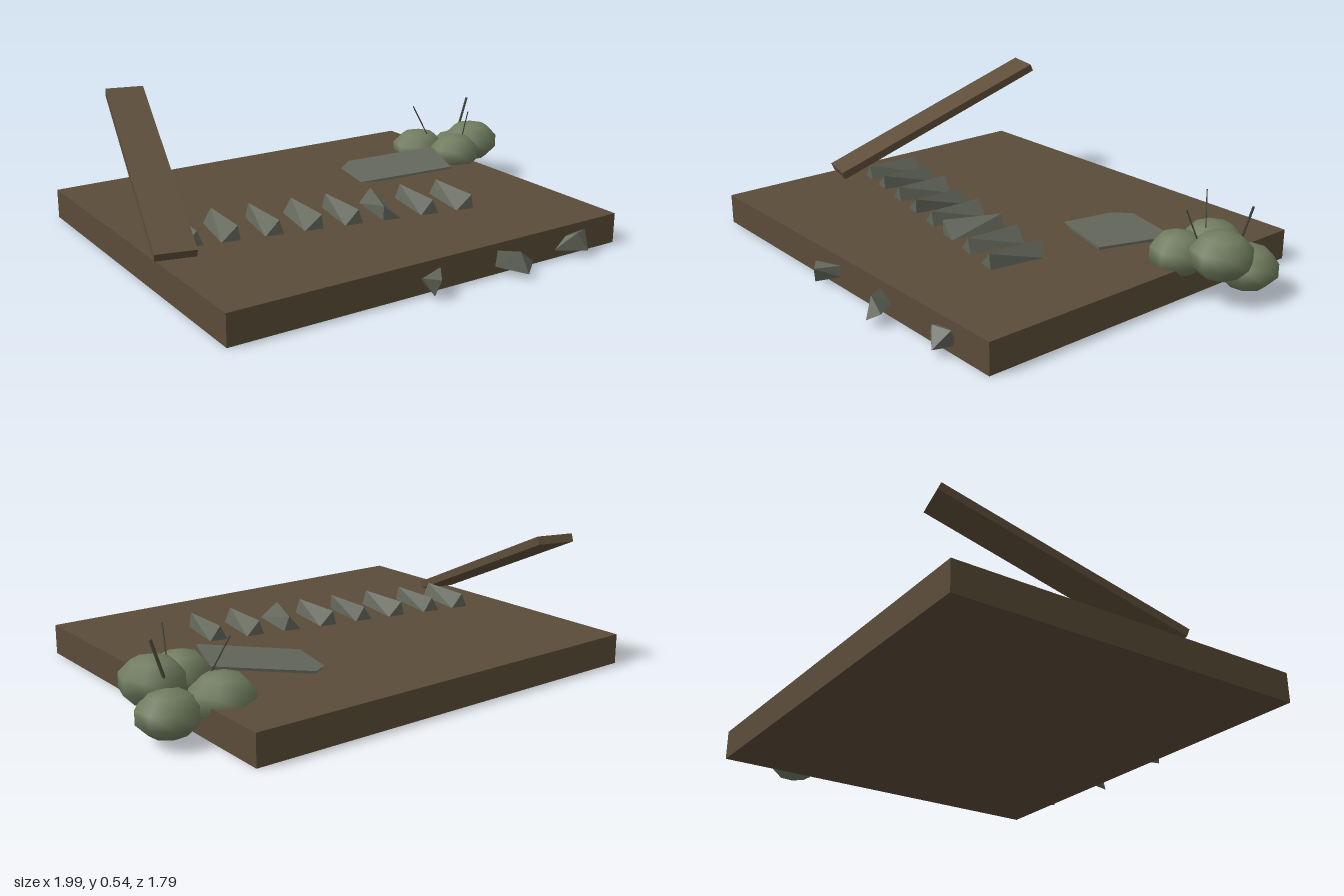
import * as THREE from 'three';
import { ConvexGeometry } from 'three/addons/geometries/ConvexGeometry.js';

const material = (name, color) => {
  const m = new THREE.MeshStandardMaterial({ color });
  m.name = name;
  return m;
};

export function createModel() {
  const model = new THREE.Group();
  const earth = material('earth brown', 0x5b4c39);
  const wood = material('plank brown', 0x5d4d39);
  const stone = material('grey stone', 0x62665a);
  const leaf = material('moss green', 0x6f7b5d);
  const twig = material('twig grey', 0x4a4c40);

  const add = (name, geometry, mat, x = 0, y = 0, z = 0) => {
    const mesh = new THREE.Mesh(geometry, mat);
    mesh.name = name;
    mesh.position.set(x, y, z);
    model.add(mesh);
    return mesh;
  };
  const hull = (points) => new ConvexGeometry(points.map((p) => new THREE.Vector3(...p)));

  // Ground slab, turned slightly
  add('groundSlab', new THREE.BoxGeometry(1.724, 0.12, 1.479), earth, -0.01, 0.06, -0.005).rotation.y = 0.198;

  // Leaning plank
  const plank = add('leaningPlank', new THREE.BoxGeometry(0.155, 0.032, 1.0), wood, -0.724, 0.333, -0.06);
  plank.rotation.set(0.4, -0.038, 0, 'YXZ');

  // Row of twisted stone wedges: [x, ridge offset in front, ridge offset behind]
  const wedges = [
    [-0.65, 0.015, -0.015], [-0.51, 0.03, -0.005], [-0.34, 0.02, -0.025], [-0.185, 0.035, -0.005],
    [-0.02, 0.02, -0.025], [0.14, -0.035, 0.01], [0.30, 0.015, -0.02], [0.455, 0.03, -0.01],
  ];
  for (const [x, front, back] of wedges) {
    add('stoneWedge', hull([
      [-0.035, 0, 0.115], [0.04, 0, 0.115], [-0.04, 0, -0.115], [0.033, 0, -0.115],
      [front, 0.06, 0.115], [back, 0.06, -0.115],
    ]), stone, x, 0.118, 0.175);
  }

  // Stones sticking out of the front edge
  const edgeStones = [
    [[0.03, 0.08, 0.78], [0.09, 0.075, 0.81], [0.07, 0.015, 0.80], [0.13, 0.085, 0.72], [0.13, 0.04, 0.72], [0.06, 0.04, 0.70]],
    [[0.47, 0.02, 0.76], [0.51, 0.05, 0.72], [0.45, 0.10, 0.73], [0.38, 0.09, 0.66], [0.38, 0.03, 0.67], [0.43, 0.05, 0.64]],
    [[0.79, 0.03, 0.66], [0.81, 0.095, 0.60], [0.75, 0.10, 0.64], [0.67, 0.03, 0.61], [0.70, 0.06, 0.57], [0.80, 0.03, 0.57]],
  ];
  for (const points of edgeStones) add('edgeStone', hull(points), stone);

  // Tilted flat slate, rising toward the bush
  const outline = [[0.15, -0.20], [0.18, -0.37], [0.28, -0.47], [0.65, -0.39], [0.60, -0.10]];
  const rise = (x) => 0.165 + 0.13 * (x - 0.6);
  add('flatSlate', hull(outline.flatMap(([x, z]) => [
    [x, rise(x) + 0.005, z], [x, rise(x) - 0.005, z],
  ])), stone);

  // Bush of squashed low-sided lumps: [x, y, z, width radius, height radius, turn]
  const lumps = [
    [0.875, 0.175, -0.435, 0.122, 0.09, 0.3],
    [0.745, 0.155, -0.345, 0.11, 0.085, 1.1],
    [0.865, 0.10, -0.57, 0.118, 0.085, 0.7],
    [0.67, 0.125, -0.56, 0.122, 0.09, 1.9],
  ];
  for (const [x, y, z, r, h, turn] of lumps) {
    const lump = add('bushLump', new THREE.SphereGeometry(1, 8, 5), leaf, x, y, z);
    lump.scale.set(r, h, r);
    lump.rotation.y = turn;
  }

  // Thin twigs rising from the bush
  const twigs = [
    [[0.85, 0.17, -0.53], [0.907, 0.35, -0.54], 0.006],
    [[0.805, 0.20, -0.39], [0.80, 0.34, -0.33], 0.003],
    [[0.69, 0.20, -0.51], [0.635, 0.33, -0.55], 0.003],
  ];
  for (const [from, to, r] of twigs) {
    const a = new THREE.Vector3(...from);
    const b = new THREE.Vector3(...to);
    const d = b.clone().sub(a);
    const stick = add('bushTwig', new THREE.CylinderGeometry(r, r, d.length(), 4), twig);
    stick.position.copy(a).addScaledVector(d, 0.5);
    stick.quaternion.setFromUnitVectors(new THREE.Vector3(0, 1, 0), d.normalize());
  }
  return model;
}
